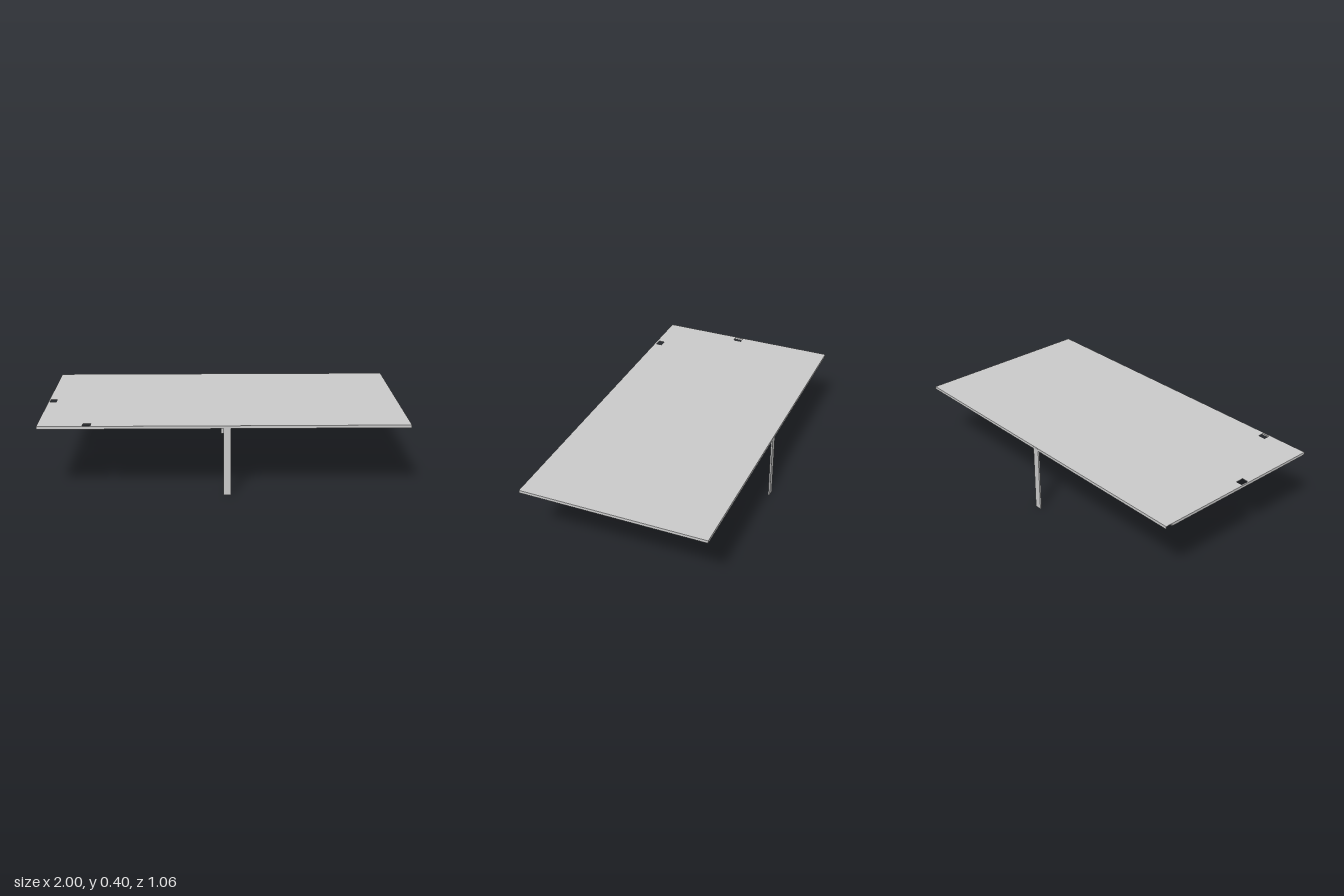
import * as THREE from 'three';

const TOP = 0.395, BOTTOM = 0.379, T = 0.003; // deck top, skirt bottom, sheet thickness
const HALF_X = 1, HALF_Z = 0.528;

export function createModel() {
  const model = new THREE.Group();
  const material = new THREE.MeshStandardMaterial({ color: 0xcccccc, flatShading: true, side: THREE.DoubleSide });

  // Box given by its minimum and maximum corners
  function box(name, [x0, y0, z0], [x1, y1, z1], parent = model) {
    const mesh = new THREE.Mesh(new THREE.BoxGeometry(x1 - x0, y1 - y0, z1 - z0), material);
    mesh.position.set((x0 + x1) / 2, (y0 + y1) / 2, (z0 + z1) / 2);
    mesh.name = name;
    parent.add(mesh);
  }

  // Rectangle path on the deck, from plan coordinates
  function rectangle(path, x0, z0, x1, z1) {
    path.moveTo(x0, -z0).lineTo(x1, -z0).lineTo(x1, -z1).lineTo(x0, -z1).closePath();
    return path;
  }

  // Thin deck with two small openings near its edges
  const outline = rectangle(new THREE.Shape(), -HALF_X, -HALF_Z, HALF_X, HALF_Z);
  outline.holes.push(
    rectangle(new THREE.Path(), -0.992, 0.027, -0.955, 0.075),
    rectangle(new THREE.Path(), -0.757, 0.481, -0.714, 0.516)
  );
  const deckGeometry = new THREE.ExtrudeGeometry(outline, { depth: T, bevelEnabled: false });
  deckGeometry.rotateX(-Math.PI / 2).translate(0, TOP - T, 0);
  const deck = new THREE.Mesh(deckGeometry, material);
  deck.name = 'deck';
  model.add(deck);

  // Folded skirts; the rear channel is open at its -x end
  const under = TOP - T, wallZ = -0.487;
  box('frontSkirt', [-HALF_X, BOTTOM, HALF_Z - T], [HALF_X, under, HALF_Z]);
  box('backSkirt', [-HALF_X, BOTTOM, -HALF_Z], [HALF_X, under, -HALF_Z + T]);
  box('rearInnerWall', [-HALF_X, BOTTOM, wallZ], [HALF_X, under, wallZ + T]);
  box('leftSkirt', [HALF_X - T, BOTTOM, -HALF_Z + T], [HALF_X, under, HALF_Z - T]);
  box('rightSkirt', [-HALF_X, BOTTOM, wallZ + T], [-HALF_X + T, under, HALF_Z - T]);

  // Shallow channel legs, opening inwards
  const x0 = -0.005, x1 = 0.035, depth = 0.009;
  for (const side of [1, -1]) {
    const leg = new THREE.Group();
    leg.name = side > 0 ? 'frontLeg' : 'backLeg';
    const outer = side * (HALF_Z + 0.001), inner = side * (HALF_Z + 0.001 - depth);
    const web = outer - side * T;
    const span = (a, b) => [Math.min(a, b), Math.max(a, b)];
    const [w0, w1] = span(outer, web), [f0, f1] = span(web, inner);
    box('legWeb', [x0, 0, w0], [x1, under, w1], leg);
    // The front leg's flanges have a notch partway up
    const pieces = side > 0 ? [[0, 0.135], [0.15, under]] : [[0, under]];
    for (const [y0, y1] of pieces) {
      box('legFlange', [x0, y0, f0], [x0 + T, y1, f1], leg);
      box('legFlange', [x1 - T, y0, f0], [x1, y1, f1], leg);
    }
    box('legFoot', [x0 + T, 0, f0], [x1 - T, T, f1], leg);
    model.add(leg);
  }
  return model;
}
